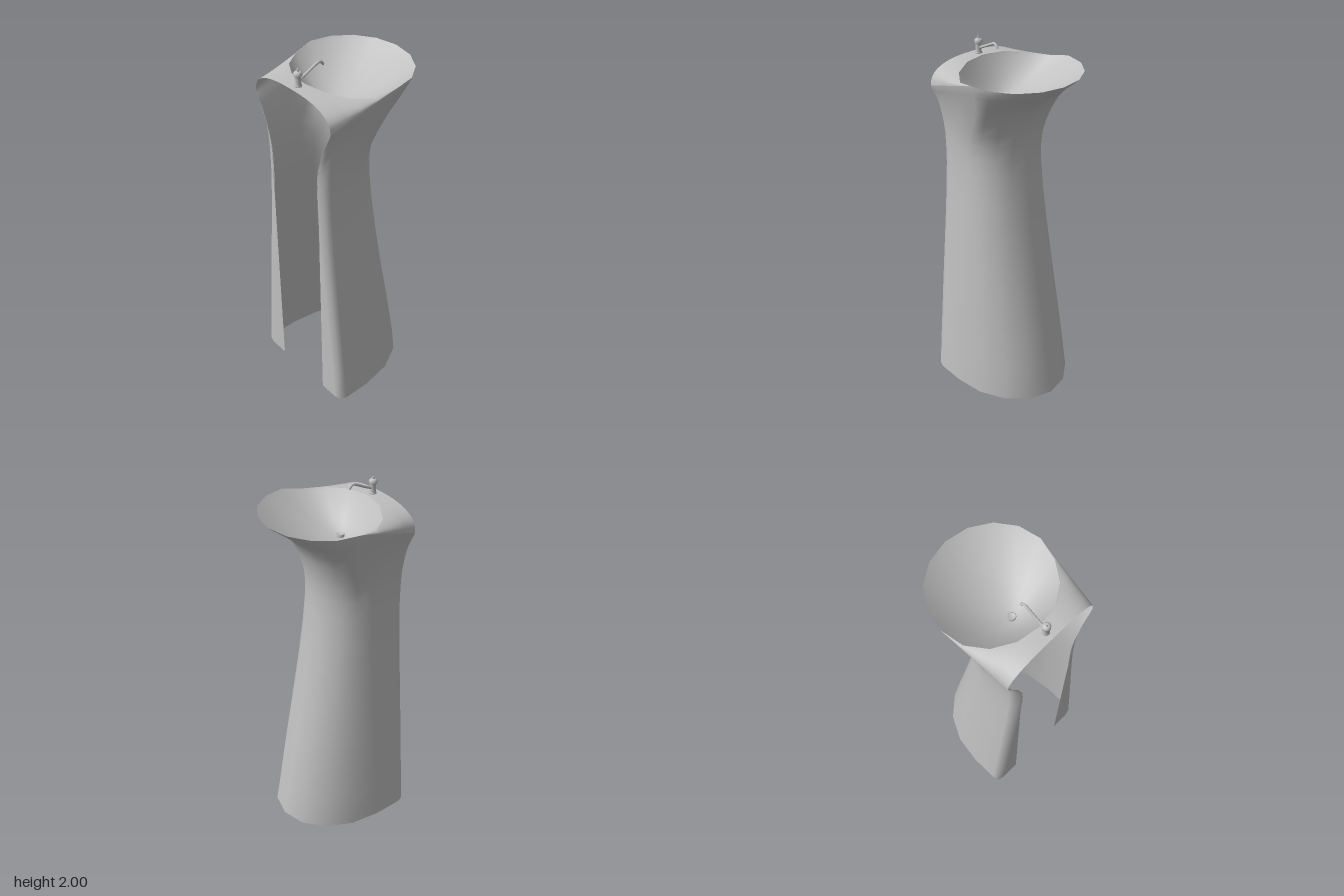
import * as THREE from 'three';

const porcelain = new THREE.MeshStandardMaterial({ color: 0xc0c0c0, side: THREE.DoubleSide });
porcelain.name = 'light grey';

const TOP = 1.91, BACK = -0.34, RIM_X = 0.04, RIM_RX = 0.3, RIM_RZ = 0.32;
const DRAIN_X = -0.09, BOWL_Y = 1.73;
const lerp = THREE.MathUtils.lerp;

// Smooth surface through rows of [x, y, z] points
function grid(name, rows, closed = false) {
  const n = rows[0].length, index = [];
  for (let r = 0; r < rows.length - 1; r++) {
    for (let c = 0; c < (closed ? n : n - 1); c++) {
      const a = r * n + c, b = r * n + (c + 1) % n;
      index.push(a, b, b + n, a, b + n, a + n);
    }
  }
  const geo = new THREE.BufferGeometry();
  geo.setAttribute('position', new THREE.Float32BufferAttribute(rows.flat(2), 3));
  geo.setIndex(index);
  geo.computeVertexNormals();
  return part(name, geo);
}

function part(name, geo, x = 0, y = 0, z = 0) {
  const mesh = new THREE.Mesh(geo, porcelain);
  mesh.name = name;
  mesh.position.set(x, y, z);
  return mesh;
}

// The rear shoulders fall away and narrow towards the back
const shoulder = x => THREE.MathUtils.clamp((RIM_X - x) / (RIM_X - BACK), 0, 1);
const drop = x => 0.12 * shoulder(x);
const topWidth = x => lerp(RIM_RZ, 0.28, shoulder(x));
const P = 2.5;
const deckY = (x, z) => {
  const q = Math.min(1, Math.abs(z) / topWidth(x));
  return TOP - drop(x) * (1 - Math.pow(1 - Math.pow(q, P), 1 / P));
};

// Pedestal levels: height, front reach, half width
const LEVELS = [
  [0, 0.308, 0.34], [0.2, 0.275, 0.323], [0.4, 0.24, 0.305], [0.6, 0.202, 0.287],
  [0.8, 0.166, 0.268], [1, 0.131, 0.249], [1.2, 0.102, 0.232], [1.35, 0.086, 0.223],
  [1.45, 0.082, 0.222], [1.53, 0.086, 0.225], [1.6, 0.098, 0.235], [1.67, 0.118, 0.25],
  [1.74, 0.15, 0.27], [1.8, 0.205, 0.289], [1.85, 0.265, 0.305], [1.88, 0.305, 0.315], [TOP, 0.34, 0.32],
];

// U-shaped outline of one level: rear flange, rounded corner, side, elliptic front
function outline([y, front, w]) {
  const s = THREE.MathUtils.smoothstep(y, 1.45, 1.87);
  const xc = lerp(-0.13, RIM_X, s);
  const side = x => w * (1 - 0.125 * s * (xc - x) / (xc - BACK));
  const inset = 1 - s;
  const half = [
    [BACK, lerp(Math.min(0.18, w), side(BACK), s)],
    [BACK, side(BACK) - 0.05 * inset],
    [-0.33, side(-0.33) - 0.012 * inset],
    [-0.295, side(-0.295)],
    [lerp(-0.295, xc, 0.5), side(lerp(-0.295, xc, 0.5))],
  ];
  for (let i = 0; i < 4; i++) {
    const a = Math.PI / 2 - i * Math.PI / 8;
    half.push([xc + (front - xc) * Math.cos(a), w * Math.sin(a)]);
  }
  const full = [...half, [front, 0], ...half.map(([x, z]) => [x, -z]).reverse()];
  return full.map(([x, z]) => [x, y - drop(x) * Math.pow(y / TOP, 8), z]);
}

// One half of the rounded deck around the back of the bowl
function deckRows(sign) {
  const columns = [[BACK, 0], [-0.3, 0]];
  for (let i = 0; i <= 4; i++) {
    const a = Math.PI - i * Math.PI / 8;
    columns.push([RIM_X + RIM_RX * Math.cos(a), RIM_RZ * Math.sin(a)]);
  }
  return columns.map(([x, inner]) => {
    const w = topWidth(x), a0 = Math.asin(Math.min(1, Math.pow(inner / w, P / 2)));
    const row = [];
    for (let j = 0; j <= 10; j++) {
      const a = lerp(a0, Math.PI / 2, j / 10);
      const z = w * Math.pow(Math.sin(a), 2 / P);
      row.push([x, TOP - drop(x) * (1 - Math.pow(Math.max(0, Math.cos(a)), 2 / P)), sign * z]);
    }
    return sign > 0 ? row : row.reverse();
  });
}

// Bowl rings shrink from the rim to the off-centre drain
function bowlRow(k) {
  const row = [];
  for (let i = 0; i < 16; i++) {
    const a = i * Math.PI / 8;
    const x = RIM_X + RIM_RX * Math.cos(a), z = RIM_RZ * Math.sin(a);
    row.push([lerp(DRAIN_X, x, k), lerp(BOWL_Y, deckY(x, z), Math.pow(k, 1.7)), z * k]);
  }
  return row;
}

function makeFaucet() {
  const faucet = new THREE.Group();
  faucet.name = 'faucet';
  const body = [[0, 0], [0.019, 0], [0.019, 0.006], [0.015, 0.01], [0.015, 0.05], [0.021, 0.056],
    [0.021, 0.07], [0.014, 0.078], [0, 0.08]].map(p => new THREE.Vector2(...p));
  faucet.add(part('faucetBody', new THREE.LatheGeometry(body, 16), -0.296, TOP - 0.002));
  const path = new THREE.CatmullRomCurve3([[-0.295, 1.937], [-0.24, 1.96], [-0.185, 1.986],
    [-0.165, 1.991], [-0.152, 1.984], [-0.143, 1.97]].map(([x, y]) => new THREE.Vector3(x, y, 0)));
  faucet.add(part('spout', new THREE.TubeGeometry(path, 20, 0.007, 8)));
  faucet.add(part('lever', new THREE.CylinderGeometry(0.005, 0.007, 0.02, 8), -0.296, 1.99));
  return faucet;
}

export function createModel() {
  const model = new THREE.Group();
  model.name = 'pedestalSink';
  model.add(grid('pedestalShell', LEVELS.map(outline)));
  model.add(grid('deckLeft', deckRows(1)), grid('deckRight', deckRows(-1)));
  model.add(grid('bowl', [0.02, 0.1, 0.2, 0.3, 0.4, 0.5, 0.6, 0.7, 0.8, 0.88, 0.95, 1].map(bowlRow), true));

  // Drain plug with a raised rim
  const plug = [[0, 0.012], [0.014, 0.012], [0.018, 0.018], [0.022, 0.014], [0.022, -0.005]]
    .map(p => new THREE.Vector2(...p)).reverse();
  model.add(part('drain', new THREE.LatheGeometry(plug, 10), DRAIN_X, BOWL_Y));
  model.add(makeFaucet());
  return model;
}
